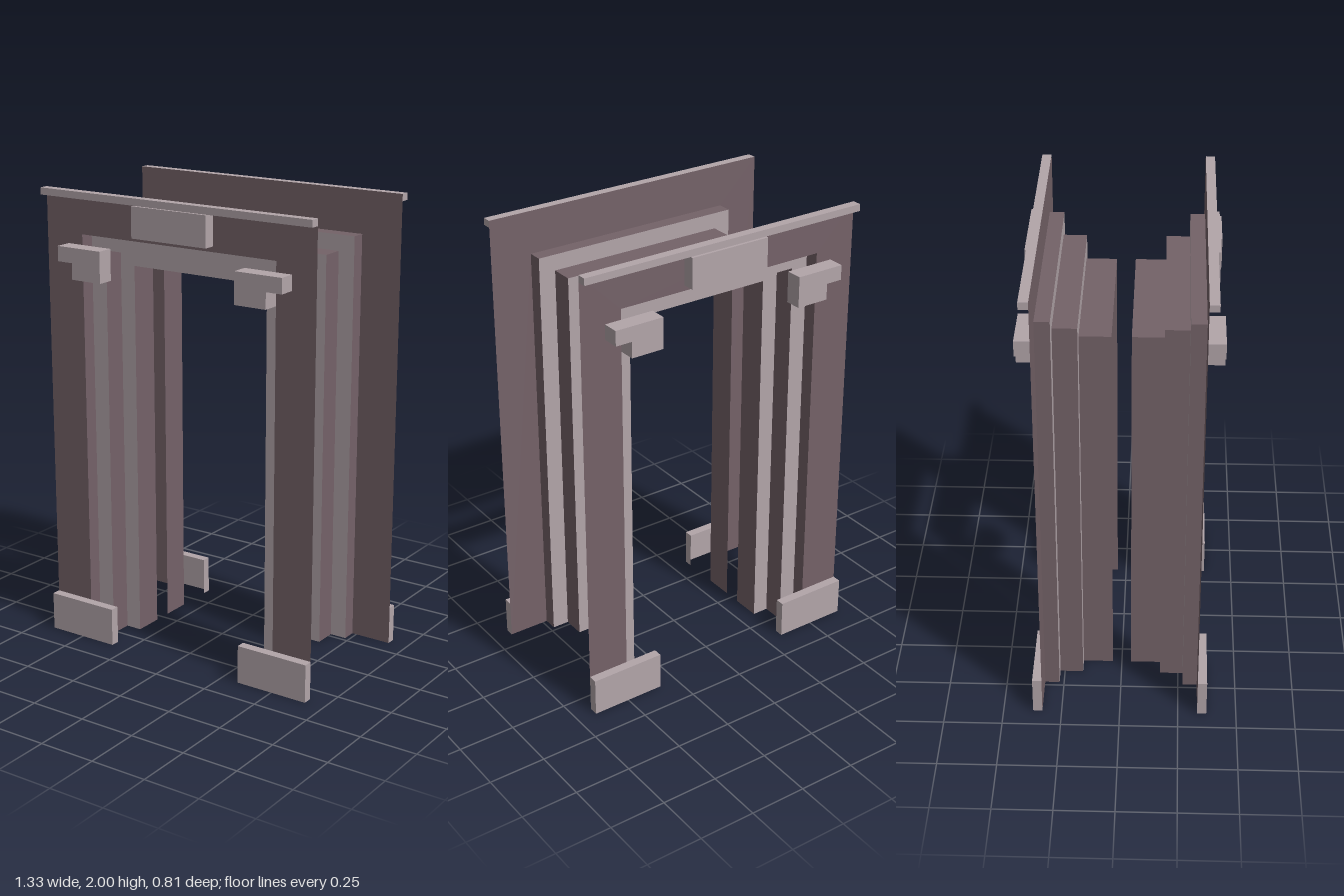
import * as THREE from 'three';
import { mergeGeometries } from 'three/addons/utils/BufferGeometryUtils.js';

const WALL_Z = 0.333;
// Nested openings, from the wall inward: half width, height, start and end depth
const STEPS = [
  { x: 0.48, h: 1.815, z0: 0.27, z1: WALL_Z },
  { x: 0.405, h: 1.745, z0: 0.17, z1: 0.27 },
  { x: 0.333, h: 1.67, z0: 0.04, z1: 0.17 },
];

// Upside-down U path around an opening
const archPath = (x, h) => [[x, 0], [x, h], [-x, h], [-x, 0]];

// Flat face of a polygon at depth z
function face(points, z) {
  const shape = new THREE.Shape(points.map(([x, y]) => new THREE.Vector2(x, y)));
  return new THREE.ShapeGeometry(shape).translate(0, 0, z).toNonIndexed();
}

// Ribbon of quads following a path, running from depth z0 to z1
function ribbon(points, z0, z1, closed) {
  const pos = [], uv = [];
  const count = closed ? points.length : points.length - 1;
  for (let i = 0; i < count; i++) {
    const a = points[i], b = points[(i + 1) % points.length];
    pos.push(...a, z0, ...b, z0, ...b, z1, ...a, z0, ...b, z1, ...a, z1);
    uv.push(0, 0, 1, 0, 1, 1, 0, 0, 1, 1, 0, 1);
  }
  const g = new THREE.BufferGeometry();
  g.setAttribute('position', new THREE.Float32BufferAttribute(pos, 3));
  g.setAttribute('uv', new THREE.Float32BufferAttribute(uv, 2));
  g.computeVertexNormals();
  return g;
}

// Raised block with an open back; openBase also leaves out its bottom
function block(points, depth, openBase = false) {
  return mergeGeometries([
    face(points, WALL_Z + depth),
    ribbon(points, WALL_Z, WALL_Z + depth, !openBase),
  ]);
}

// Rectangle listed counter-clockwise, with its bottom edge last
const rect = (x0, x1, y0, y1) => [[x1, y0], [x1, y1], [x0, y1], [x0, y0]];
const mirrorX = (points) => points.map(([x, y]) => [-x, y]).reverse();

export function createModel() {
  const stone = new THREE.MeshStandardMaterial({ color: 0x746268, side: THREE.DoubleSide });
  stone.name = 'dark stone';
  const trim = new THREE.MeshStandardMaterial({ color: 0xb2a5a9, side: THREE.DoubleSide });
  trim.name = 'pale stone';

  const buildHalf = (name) => {
    const half = new THREE.Group();
    half.name = name;
    const add = (part, geometry, material) => {
      const mesh = new THREE.Mesh(geometry, material);
      mesh.name = part;
      half.add(mesh);
    };
    // U-shaped face between an outer outline and an inner opening
    const frame = (ox, oh, ix, ih, z) =>
      face([...archPath(ox, oh), ...archPath(ix, ih).reverse()], z);

    // Wall and stepped reveals
    add('wall', frame(0.665, 2, STEPS[0].x, STEPS[0].h, WALL_Z), stone);
    STEPS.forEach((s, i) => {
      add('reveal' + (i + 1), ribbon(archPath(s.x, s.h), s.z0, s.z1, false), stone);
      const next = STEPS[i + 1];
      if (next) add('stepFace' + (i + 1), frame(s.x, s.h, next.x, next.h, s.z0), trim);
    });

    // Cornice and keystone
    add('cornice', block(rect(-0.665, 0.665, 1.97, 2), 0.04), trim);
    add('keystone', block(rect(-0.183, 0.183, 1.838, 1.97), 0.052), trim);

    // Plinths and L-shaped imposts on both sides
    const plinth = rect(0.333, 0.665, 0, 0.168);
    const impost = [[0.333, 1.635], [0.48, 1.635], [0.48, 1.705],
      [0.553, 1.705], [0.553, 1.77], [0.333, 1.77]];
    for (const side of ['left', 'right']) {
      const place = side === 'left' ? (p) => p : mirrorX;
      // Mirrored rectangles are rotated so the bottom edge stays last
      const base = side === 'left' ? plinth : rect(-0.665, -0.333, 0, 0.168);
      add(side + 'Plinth', block(base, 0.04, true), trim);
      add(side + 'Impost', block(place(impost), 0.073), trim);
    }
    return half;
  };

  const model = new THREE.Group();
  model.name = 'doorway';
  const back = buildHalf('backHalf');
  back.rotation.y = Math.PI;
  model.add(buildHalf('frontHalf'), back);
  return model;
}
